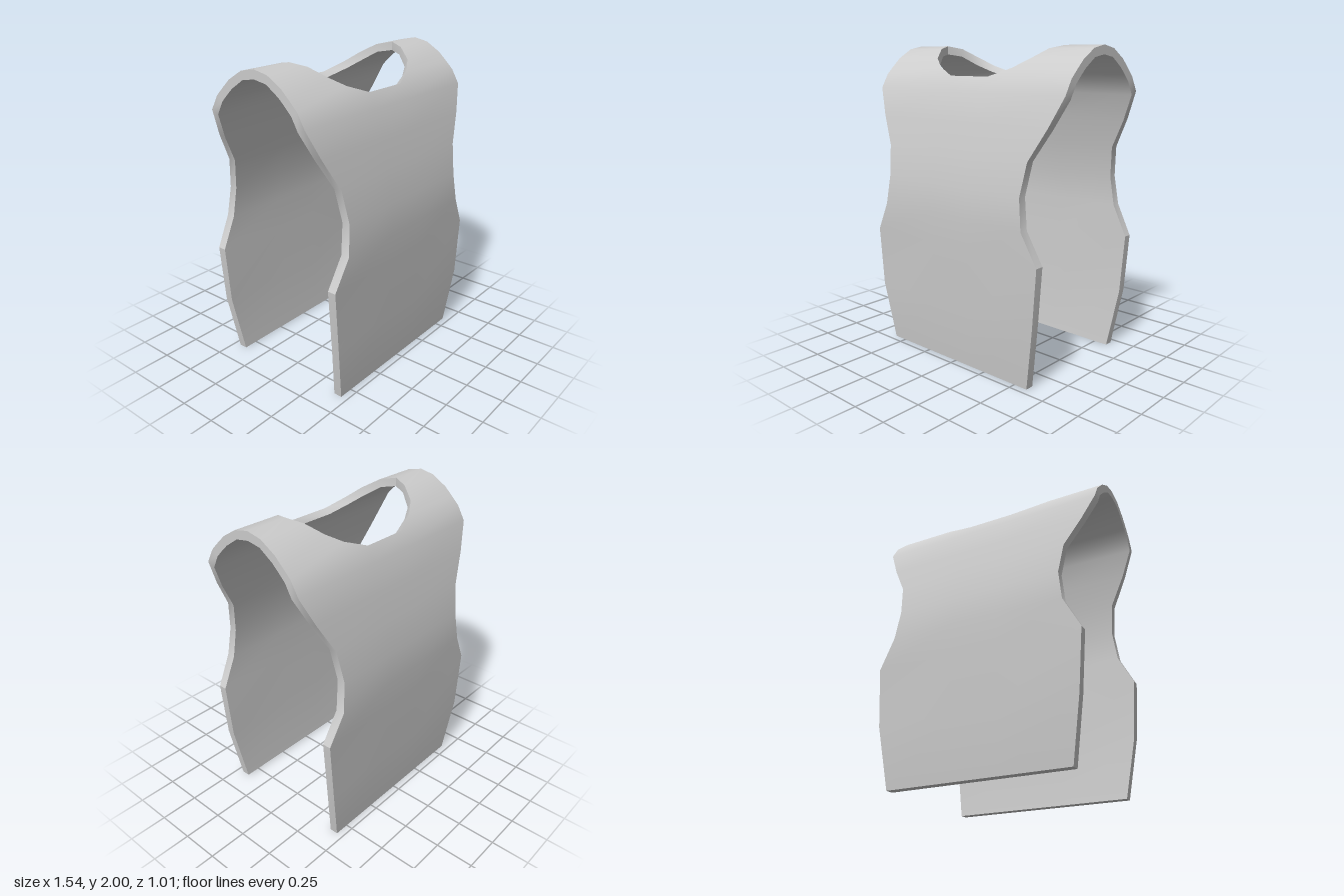
import * as THREE from 'three';
import { toCreasedNormals } from 'three/addons/utils/BufferGeometryUtils.js';

// Half profile, hem to shoulder ridge:
// outer y, outer z, inner y, inner z, half width, neck half width
const HALF = [
  [0, 0.455, 0, 0.4, 0.595, 0.155],
  [0.39, 0.49, 0.39, 0.437, 0.66, 0.155],
  [0.775, 0.492, 0.775, 0.437, 0.69, 0.155],
  [0.97, 0.506, 0.97, 0.45, 0.585, 0.155],
  [1.16, 0.49, 1.16, 0.438, 0.56, 0.155],
  [1.36, 0.455, 1.36, 0.403, 0.587, 0.155],
  [1.55, 0.408, 1.54, 0.358, 0.692, 0.155],
  [1.725, 0.362, 1.705, 0.312, 0.772, 0.155],
  [1.815, 0.31, 1.785, 0.268, 0.772, 0.155],
  [1.867, 0.257, 1.828, 0.225, 0.772, 0.3],
  [1.92, 0.2, 1.87, 0.18, 0.772, 0.39],
  [1.98, 0.1, 1.93, 0.09, 0.772, 0.455],
  [2, 0, 1.945, 0, 0.772, 0.498],
];
const NECK_START = 8;

export function createModel() {
  const fabric = new THREE.MeshStandardMaterial({ color: 0xcccccc });
  fabric.name = 'grey fabric';

  // Mirror the front profile over the ridge to make the back
  const back = HALF.slice(0, -1).reverse().map(([y, z, iy, iz, w, h]) => [y, -z, iy, -iz, w, h]);
  const rows = [...HALF, ...back];
  const last = rows.length - 1;
  const neckEnd = last - NECK_START;

  const positions = [];
  const point = (i, column, inner) => {
    const [y, z, iy, iz, w, h] = rows[i];
    return [[-w, -h, h, w][column], inner ? iy : y, inner ? iz : z];
  };
  const quad = (corners, flip) => {
    const [a, b, c, d] = flip ? [...corners].reverse() : corners;
    positions.push(...a, ...b, ...c, ...a, ...c, ...d);
  };
  // Thickness along the length, and across the width
  const sideWall = (i, j, flip) => quad(
    [point(i, j, false), point(i, j, true), point(i + 1, j, true), point(i + 1, j, false)], flip);
  const crossWall = (i, j, flip) => quad(
    [point(i, j, false), point(i, j, true), point(i, j + 1, true), point(i, j + 1, false)], flip);

  for (let i = 0; i < last; i++) {
    const inNeck = i >= NECK_START && i < neckEnd;
    // Outer and inner cloth, leaving the neck open
    for (let j = 0; j < 3; j++) {
      if (inNeck && j === 1) continue;
      for (const inner of [false, true]) {
        quad([point(i, j, inner), point(i, j + 1, inner),
          point(i + 1, j + 1, inner), point(i + 1, j, inner)], inner);
      }
    }
    // Side edges and neck edges
    sideWall(i, 3, false);
    sideWall(i, 0, true);
    if (inNeck) {
      sideWall(i, 1, false);
      sideWall(i, 2, true);
    }
  }
  // Hems and the straight ends of the neck opening
  for (let j = 0; j < 3; j++) {
    crossWall(0, j, false);
    crossWall(last, j, true);
  }
  crossWall(NECK_START, 1, true);
  crossWall(neckEnd, 1, false);

  const geometry = new THREE.BufferGeometry();
  geometry.setAttribute('position', new THREE.Float32BufferAttribute(positions, 3));
  const tabard = new THREE.Mesh(toCreasedNormals(geometry, 0.5), fabric);
  tabard.name = 'tabard';

  const group = new THREE.Group();
  group.name = 'sleevelessTabard';
  group.add(tabard);
  return group;
}
